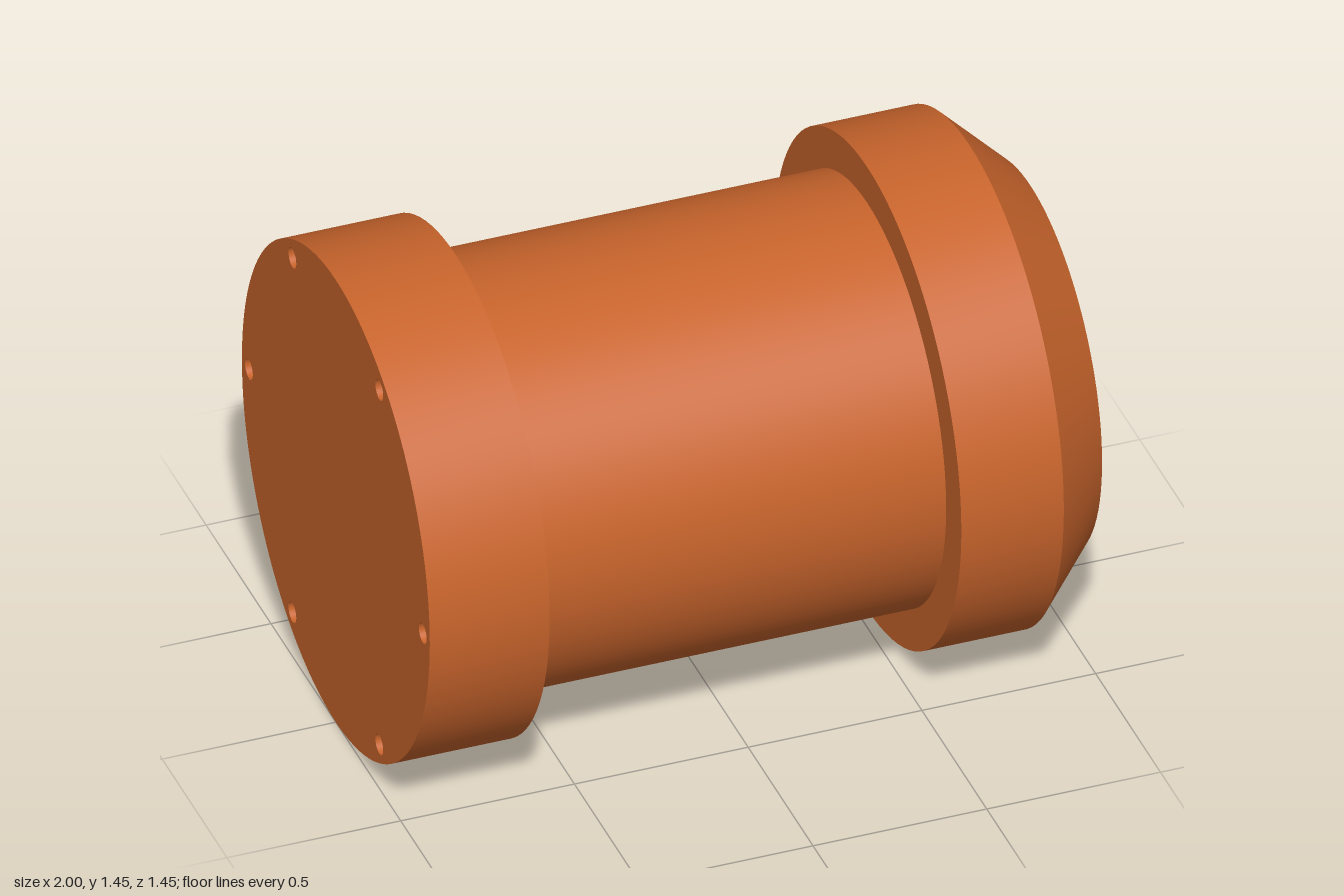
import * as THREE from 'three';
import { toCreasedNormals } from 'three/addons/utils/BufferGeometryUtils.js';

export function createModel() {
  const R = 0.724, NECK = 0.607, TIP = 0.55;
  const SEG = 96;
  const HOLES = 6, HOLE_R = 0.03, HOLE_RING = 0.67, HOLE_DEPTH = 0.15;
  const material = new THREE.MeshStandardMaterial({ color: 0xc8642c });

  const model = new THREE.Group();
  model.name = 'flangedPlug';
  const add = (name, geometry, parent = model) => {
    const mesh = new THREE.Mesh(geometry, material);
    mesh.name = name;
    parent.add(mesh);
    return mesh;
  };

  // Turned body: base flange, neck, head flange, chamfer and flat tip, along x
  const profile = [
    [R, -1], [R, -0.655], [NECK, -0.655], [NECK, 0.53],
    [R, 0.53], [R, 0.825], [TIP, 1], [0, 1],
  ].map(([r, x]) => new THREE.Vector2(r, x));
  const body = new THREE.LatheGeometry(profile, SEG).rotateZ(-Math.PI / 2);
  add('turnedBody', toCreasedNormals(body, Math.PI / 6));

  // Flat base face, pierced by a ring of small holes near the rim
  const face = new THREE.Shape().absarc(0, 0, R, 0, Math.PI * 2, false);
  const holes = new THREE.Group();
  holes.name = 'boltHoles';
  for (let i = 0; i < HOLES; i++) {
    const a = (i / HOLES) * Math.PI * 2;
    const z = HOLE_RING * Math.cos(a), y = HOLE_RING * Math.sin(a);
    face.holes.push(new THREE.Path().absarc(z, y, HOLE_R, 0, Math.PI * 2, true));

    // Blind hole: inward-facing wall and floor
    const wall = new THREE.CylinderGeometry(HOLE_R, HOLE_R, HOLE_DEPTH, 48, 1, true)
      .rotateZ(Math.PI / 2);
    const wallMesh = add('holeWall', wall, holes);
    wallMesh.material = material.clone();
    wallMesh.material.side = THREE.DoubleSide;
    wallMesh.position.set(-1 + HOLE_DEPTH / 2, y, z);
    const floor = new THREE.CircleGeometry(HOLE_R, 48).rotateY(-Math.PI / 2);
    add('holeFloor', floor, holes).position.set(-1 + HOLE_DEPTH, y, z);
  }
  add('baseFace', new THREE.ShapeGeometry(face, SEG).rotateY(-Math.PI / 2)).position.x = -1;
  model.add(holes);

  // Rest on the ground
  model.position.y = R;
  return model;
}
